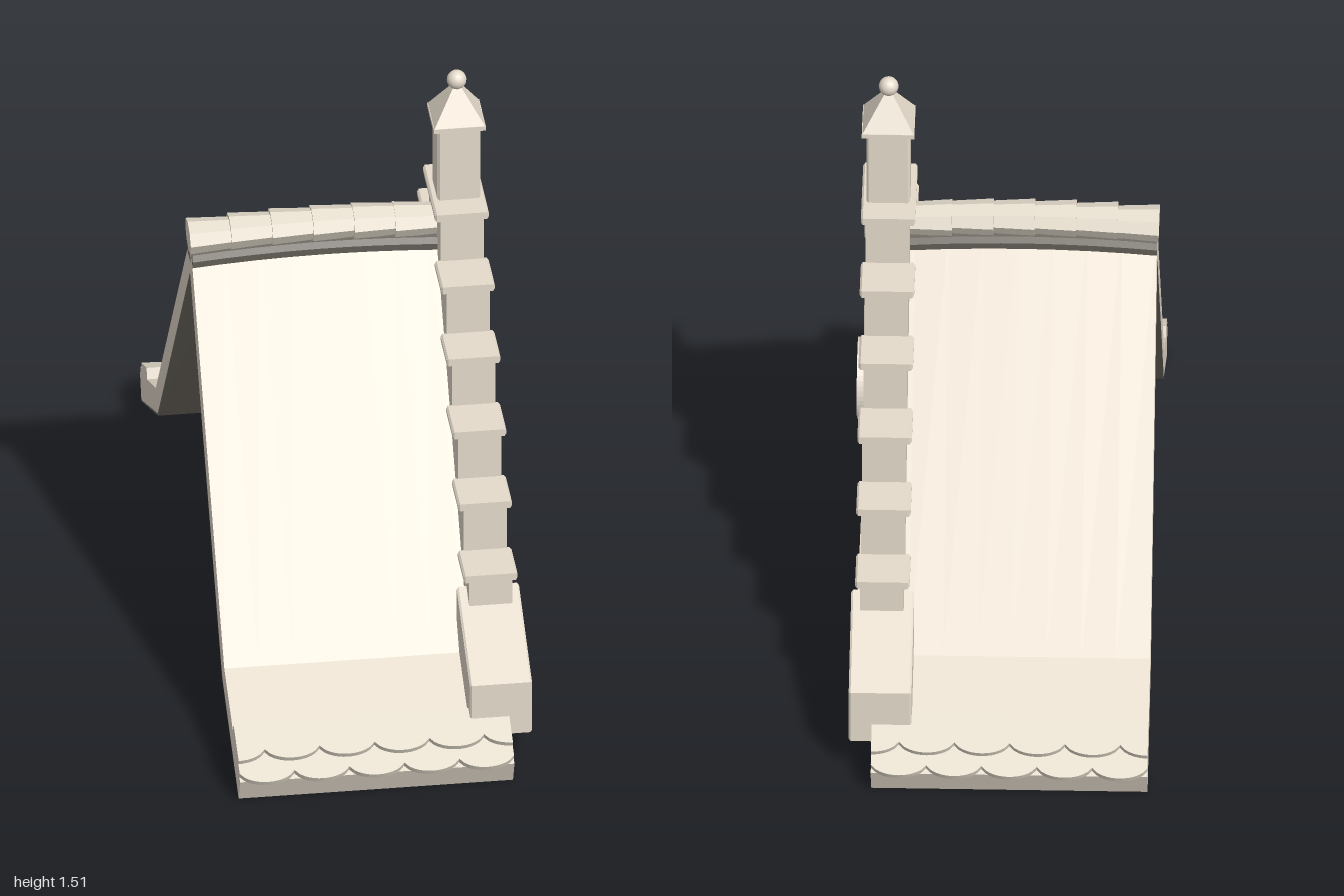
import * as THREE from 'three';

export function createModel() {
  const material = (name, color) => {
    const m = new THREE.MeshStandardMaterial({ color });
    m.name = name;
    return m;
  };
  const stone = material('stone', 0xe5dbcc);
  const tile = material('tile', 0xe4dccc);
  const dark = material('darkUnderside', 0x726d65);
  const model = new THREE.Group();
  model.name = 'steppedGable';

  const add = (name, geo, mat = stone, parent = model) => {
    const m = new THREE.Mesh(geo, mat);
    m.name = name;
    parent.add(m);
    return m;
  };
  const box = (name, x0, x1, y0, y1, z0, z1) => {
    const m = add(name, new THREE.BoxGeometry(x1 - x0, y1 - y0, z1 - z0));
    m.position.set((x0 + x1) / 2, (y0 + y1) / 2, (z0 + z1) / 2);
    return m;
  };
  const polygon = (pts) => new THREE.Shape(pts.map(([a, b]) => new THREE.Vector2(a, b)));
  const flip = (pts) => pts.map(([z, y]) => [-z, y]).reverse();
  // Extrudes a [z, y] outline from x0 to x1, with an optional chamfer
  const extrudeX = (pts, x0, x1, steps = 1, bevel = 0) => {
    const g = new THREE.ExtrudeGeometry(polygon(pts.map(([z, y]) => [-z, y])), {
      depth: x1 - x0 - 2 * bevel, steps, bevelEnabled: bevel > 0,
      bevelSize: bevel, bevelOffset: -bevel, bevelThickness: bevel, bevelSegments: 1,
    });
    g.rotateY(Math.PI / 2);
    g.translate(x0 + bevel, 0, 0);
    return g;
  };
  // Gentle arch of the ridge along x
  const hump = (x) => 0.016 * (1 - ((x + 0.03) / 0.35) ** 2);
  const arched = (pts, x0, x1) => {
    const g = extrudeX(pts, x0, x1, 8);
    const p = g.attributes.position;
    for (let i = 0; i < p.count; i++) {
      if (p.getY(i) > 0.9) p.setY(i, p.getY(i) + hump(p.getX(i)));
    }
    g.computeVertexNormals();
    return g;
  };

  // Roof shell with flared eaves, and its dark lining
  const outer = [[0.98, 0.065], [0.67, 0.21], [0, 1.072]];
  const inner = [[0, 0.97], [0.63, 0.16], [0.952, 0]];
  const lining = [[0.945, 0], [0.628, 0.154], [0, 0.962]];
  const shell = (top, bottom) => [...top, ...flip(top).slice(1), ...flip(bottom), ...bottom.slice(1)];
  add('roof', arched(shell(outer, inner), -0.375, 0.32));
  add('roofLining', arched(shell(flip(inner).map(([z, y]) => [-z, y]).length ? [...inner].reverse() : inner, [...lining].reverse()), -0.375, 0.32), dark);

  // Two rows of scalloped tiles on each eave
  const scallops = (start, tip, depth, shift) => {
    const half = 0.3475, pitch = 0.139, pts = [[half, -start], [-half, -start]];
    for (let i = 0; i <= 60; i++) {
      const u = i / 12 + shift;
      const t = 2 * (u - Math.floor(u)) - 1;
      pts.push([-half + (i / 12) * pitch, -(tip - depth * (1 - Math.sqrt(1 - 0.9 * t * t)) / 0.684)]);
    }
    return new THREE.ExtrudeGeometry(polygon(pts), { depth: 0.015, bevelEnabled: false });
  };
  for (const side of [0, Math.PI]) {
    const eave = new THREE.Group();
    eave.name = side ? 'backEaveTiles' : 'frontEaveTiles';
    eave.position.x = -0.0275;
    eave.rotation.y = side;
    const slope = new THREE.Group();
    slope.position.set(0, 0.21, 0.67);
    slope.rotation.x = -Math.atan2(0.31, 0.145);
    eave.add(slope);
    add('lowerTileRow', scallops(0.186, 0.356, 0.03, 0), tile, slope);
    add('upperTileRow', scallops(0.186, 0.297, 0.03, 0.5), tile, slope).position.z = 0.014;
    model.add(eave);
  }

  // Dark bed under the ridge, with overlapping faceted tiles on it
  add('ridgeBed', arched([[0.046, 1.002], [0.054, 1.03], [0.045, 1.045], [-0.045, 1.045], [-0.054, 1.03], [-0.046, 1.002]], -0.375, 0.25), dark);
  for (let i = 0; i < 6; i++) {
    const len = 0.115, x = -0.38 + i * 0.104 + len / 2;
    let g = new THREE.CylinderGeometry(0.047, 0.055, len, 8);
    g.rotateZ(-Math.PI / 2);
    g.scale(1, 0.78, 1);
    g = g.toNonIndexed();
    g.computeVertexNormals();
    const cap = add('ridgeTile', g, tile);
    cap.position.set(x, 1.073 + hump(x), 0);
    cap.rotation.z = -0.09 * x;
  }

  // Stepped gable wall
  const halves = [0.67, 0.56, 0.45, 0.335, 0.225, 0.112];
  const tops = [0.43, 0.575, 0.72, 0.865, 1.01, 1.15];
  const side = [[0.67, 0.066]];
  halves.forEach((h, i) => {
    side.push([h, tops[i]]);
    if (i < 5) side.push([halves[i + 1], tops[i]]);
  });
  add('gableWall', extrudeX([...side, ...flip(side)], 0.245, 0.355));

  // Coping slabs on every step
  const slab = (z0, z1, y) => add('stepCoping',
    extrudeX([[z0, y - 0.01], [z1, y - 0.01], [z1, y + 0.01], [z0, y + 0.01]], 0.23, 0.367, 1, 0.005));
  for (let i = 0; i < 5; i++) {
    const a = halves[i + 1] - 0.003, b = halves[i] + 0.012;
    slab(a, b, tops[i] + 0.001);
    slab(-b, -a, tops[i] + 0.001);
  }
  slab(-0.122, 0.122, 1.153);

  // Moulding along the foot of the wall
  box('footMoulding', 0.35, 0.37, 0.115, 0.145, -0.63, 0.63);

  // Corner kneeler stones
  const kneeler = [[0.617, 0.057], [0.745, 0.057], [0.88, 0.092], [0.88, 0.24], [0.617, 0.372]];
  add('frontKneeler', extrudeX(kneeler, 0.22, 0.378, 1, 0.005));
  add('backKneeler', extrudeX(flip(kneeler), 0.22, 0.378, 1, 0.005));

  // Round window: ring and cross bars
  const ring = new THREE.Shape().absarc(0, 0, 0.103, 0, Math.PI * 2);
  ring.holes.push(new THREE.Path().absarc(0, 0, 0.07, 0, Math.PI * 2));
  const ringGeo = new THREE.ExtrudeGeometry(ring, { depth: 0.028, bevelEnabled: false, curveSegments: 24 });
  ringGeo.rotateY(Math.PI / 2);
  add('windowRing', ringGeo).position.set(0.35, 0.588, 0);
  box('windowUpright', 0.35, 0.364, 0.518, 0.658, -0.008, 0.008);
  box('windowCrossbar', 0.35, 0.364, 0.58, 0.596, -0.07, 0.07);

  // Pinnacle: shaft, cap, pyramid and ball
  const cx = 0.3;
  const shaft = [[-0.052, 1.16], [0.052, 1.16], [0.052, 1.375], [-0.052, 1.375]];
  add('pinnacleShaft', extrudeX(shaft, cx - 0.055, cx + 0.055, 1, 0.006));
  box('pinnacleCap', cx - 0.066, cx + 0.066, 1.37, 1.382, -0.066, 0.066);
  const pyramid = new THREE.CylinderGeometry(0.012, 0.065 * Math.SQRT2, 0.09, 4).toNonIndexed();
  pyramid.rotateY(Math.PI / 4);
  pyramid.computeVertexNormals();
  add('pinnaclePyramid', pyramid).position.set(cx, 1.426, 0);
  add('pinnacleBall', new THREE.SphereGeometry(0.025, 16, 12)).position.set(cx, 1.486, 0);

  return model;
}
